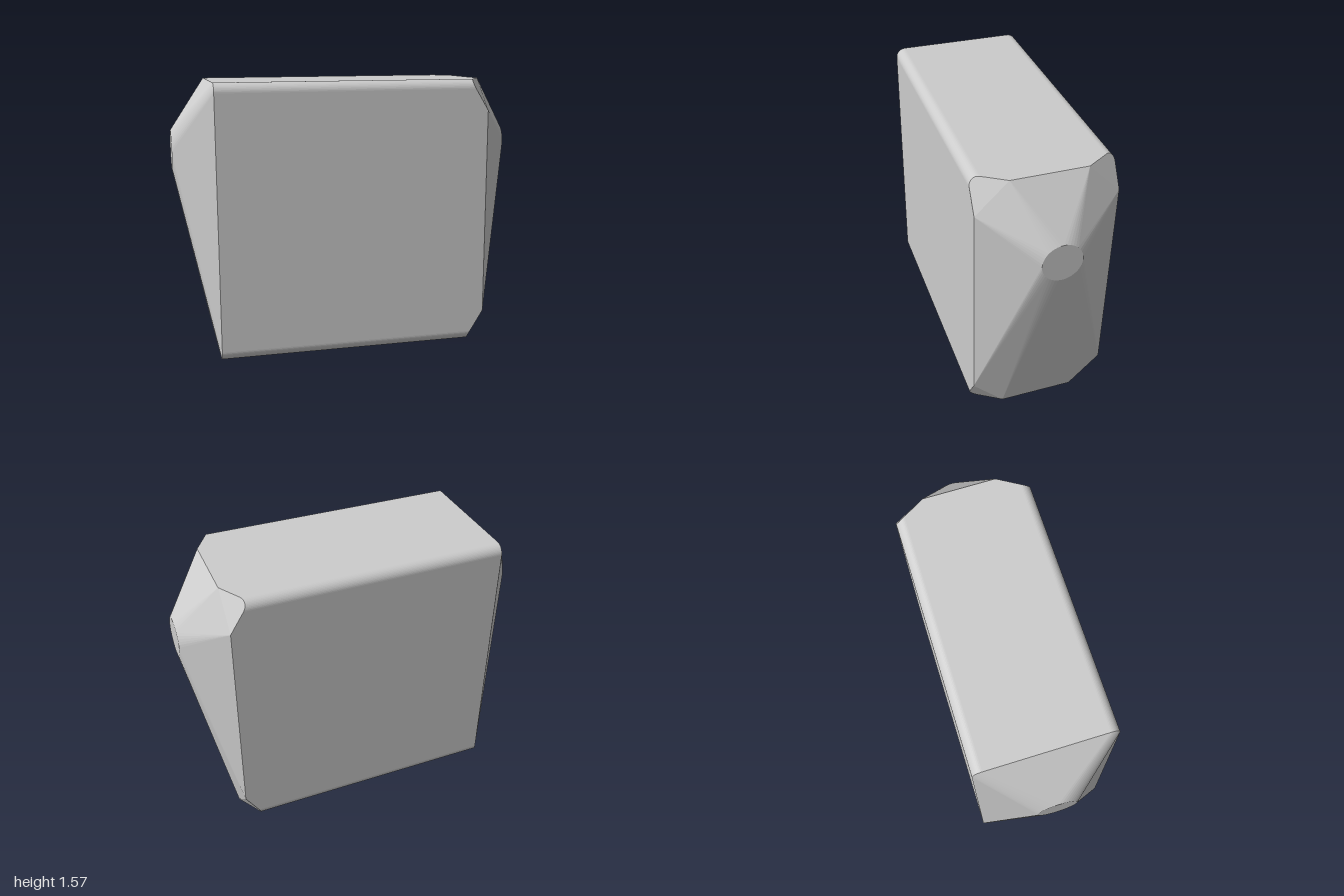
import * as THREE from 'three';
import { ConvexGeometry } from 'three/addons/geometries/ConvexGeometry.js';

const HALF_H = 0.777, HALF_D = 0.388, RADIUS = 0.055, END_X = 0.78;
const CHAMFER = 0.178, CHAMFER_X = 0.11; // corner cut on the +x end
const ARC_STEPS = 12, CAP_STEPS = 40;

export function createModel() {
  const grey = new THREE.MeshStandardMaterial({ color: 0xcccccc });
  grey.name = 'light grey';
  const points = [];

  // rounded rectangular section, swept along x
  for (const sy of [-1, 1]) for (const sz of [-1, 1]) {
    for (let i = 0; i <= ARC_STEPS; i++) {
      const a = (i / ARC_STEPS) * Math.PI / 2;
      const insetY = RADIUS * (1 - Math.sin(a)), insetZ = RADIUS * (1 - Math.cos(a));
      const y = sy * (HALF_H - insetY), z = sz * (HALF_D - insetZ);
      points.push(new THREE.Vector3(-END_X, y, z));
      // the +x corners stop at a slanted cut
      const cut = CHAMFER_X * (1 - (insetY + insetZ) / CHAMFER);
      points.push(new THREE.Vector3(END_X - cut, y, z));
    }
    // octagonal outline left by the corner cuts
    points.push(new THREE.Vector3(END_X, sy * (HALF_H - CHAMFER), sz * HALF_D));
    points.push(new THREE.Vector3(END_X, sy * HALF_H, sz * (HALF_D - CHAMFER)));
  }

  // small round caps that both ends taper to
  for (const x of [-1, 1]) for (let i = 0; i < CAP_STEPS; i++) {
    const a = (i / CAP_STEPS) * Math.PI * 2;
    points.push(new THREE.Vector3(x, 0.387 + 0.11 * Math.sin(a), 0.11 * Math.cos(a)));
  }

  const body = new THREE.Mesh(new ConvexGeometry(points), grey);
  body.name = 'taperedBlock';
  body.rotation.x = -0.0175; // slight backward lean
  body.position.y = 0.783;

  const group = new THREE.Group();
  group.name = 'block';
  group.add(body);
  return group;
}
